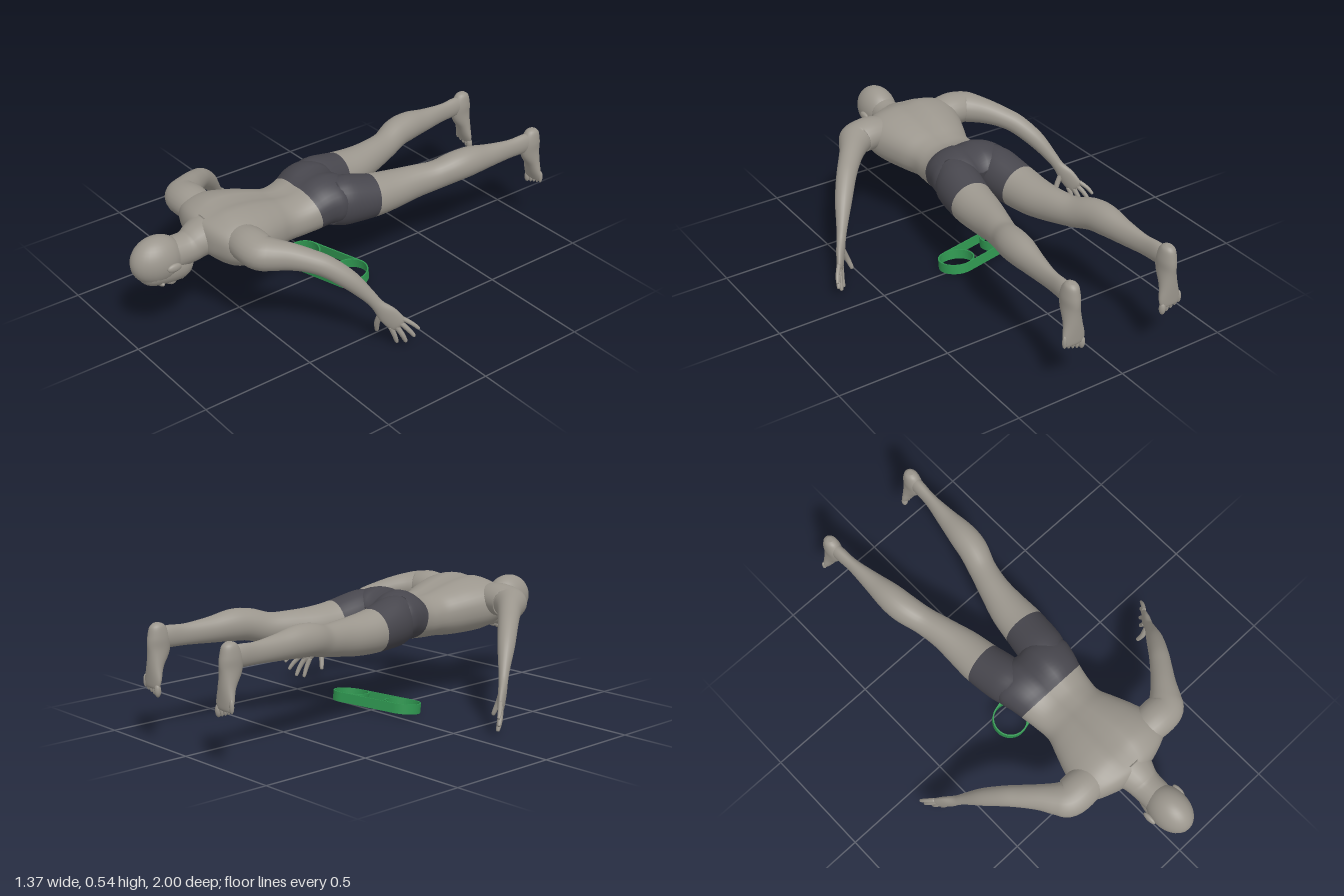
import * as THREE from 'three';

const mat = (name, color, side = THREE.FrontSide) => {
  const m = new THREE.MeshStandardMaterial({ color, side });
  m.name = name;
  return m;
};

const STEPS = 5; // rings between two sections

function spline(a, b, c, d, t) {
  return 0.5 * (2 * b + (c - a) * t + (2 * a - 5 * b + 4 * c - d) * t * t + (3 * b - a - 3 * c + d) * t * t * t);
}

// Closed skin over sections [x, y, z, halfWidth, halfDepth, groove]; the width lies along ref
function loft(sections, ref, sides = 24, power = 1) {
  const last = sections.length - 1, rings = [];
  const at = (i) => sections[Math.min(Math.max(i, 0), last)];
  for (let k = 0; k <= last * STEPS; k++) {
    const i = Math.min(Math.floor(k / STEPS), last - 1), t = k / STEPS - i;
    rings.push([0, 1, 2, 3, 4, 5].map((j) =>
      spline(at(i - 1)[j] || 0, at(i)[j] || 0, at(i + 1)[j] || 0, at(i + 2)[j] || 0, t)));
  }
  const centres = rings.map((r) => new THREE.Vector3(r[0], r[1], r[2]));
  const pos = [], index = [];
  const bend = (v) => Math.sign(v) * Math.abs(v) ** power;
  rings.forEach((r, k) => {
    const t = centres[Math.min(k + 1, rings.length - 1)].clone().sub(centres[Math.max(k - 1, 0)]).normalize();
    const u = ref.clone().addScaledVector(t, -ref.dot(t)).normalize();
    const v = t.clone().cross(u);
    for (let j = 0; j < sides; j++) {
      const a = (j / sides) * Math.PI * 2;
      const du = Math.max(r[3], 0.001) * bend(Math.cos(a));
      let dv = Math.max(r[4], 0.001) * bend(Math.sin(a));
      if (dv > 0) dv -= r[5] * Math.exp(-((du / 0.03) ** 2));
      const p = centres[k].clone().addScaledVector(u, du).addScaledVector(v, dv);
      pos.push(p.x, p.y, p.z);
    }
  });
  const n = rings.length, first = n * sides;
  pos.push(...centres[0].toArray(), ...centres[n - 1].toArray());
  for (let j = 0; j < sides; j++) index.push(first, (j + 1) % sides, j);
  for (let k = 0; k < n - 1; k++) {
    for (let j = 0; j < sides; j++) {
      const a = k * sides + j, b = k * sides + ((j + 1) % sides);
      index.push(a, b, a + sides, b, b + sides, a + sides);
    }
  }
  for (let j = 0; j < sides; j++) index.push(first + 1, (n - 1) * sides + j, (n - 1) * sides + ((j + 1) % sides));
  const g = new THREE.BufferGeometry();
  g.setAttribute('position', new THREE.Float32BufferAttribute(pos, 3));
  g.setIndex(index);
  g.computeVertexNormals();
  return g;
}

// First material up to the given section, second one after it
function splitAt(g, section, sides) {
  const cut = sides * 3 + section * STEPS * sides * 6;
  g.addGroup(0, cut, 0);
  g.addGroup(cut, g.index.count - cut, 1);
  return g;
}

export function createModel() {
  const model = new THREE.Group();
  const skin = mat('skin grey', 0x9b968d);
  const cloth = mat('shorts charcoal', 0x47464d);
  const green = mat('band green', 0x2f9650, THREE.DoubleSide);
  const X = new THREE.Vector3(1, 0, 0), Y = new THREE.Vector3(0, 1, 0);

  const add = (name, geometry, material = skin) => {
    const m = new THREE.Mesh(geometry, material);
    m.name = name;
    model.add(m);
    return m;
  };
  const ball = (name, p, r) => {
    const g = new THREE.SphereGeometry(1, 28, 20);
    g.scale(...r).translate(...p);
    return add(name, g);
  };
  const mirror = (s, list) => list.map(([x, ...rest]) => [x * s, ...rest]);

  // Torso from hips to shoulders, with a groove along seat and spine
  add('torso', splitAt(loft([
    [0, 0.41, 0.0, 0.1, 0.07, 0.02], [0, 0.42, 0.03, 0.17, 0.1, 0.03],
    [0, 0.425, 0.07, 0.192, 0.114, 0.025], [0, 0.423, 0.12, 0.183, 0.114, 0.015],
    [0, 0.405, 0.18, 0.168, 0.1, 0.006], [0, 0.395, 0.25, 0.155, 0.095, 0.008],
    [0, 0.396, 0.32, 0.15, 0.1, 0.01], [0, 0.402, 0.39, 0.175, 0.113, 0.012],
    [0, 0.412, 0.47, 0.205, 0.123, 0.014], [0, 0.42, 0.54, 0.225, 0.126, 0.016],
    [0, 0.43, 0.6, 0.228, 0.116, 0.014], [0, 0.435, 0.65, 0.2, 0.09, 0.006],
    [0, 0.435, 0.685, 0.12, 0.065], [0, 0.435, 0.7, 0.05, 0.04],
  ], X, 40, 0.88), 4, 40), [cloth, skin]);

  // Neck and head, face down
  add('neck', loft([
    [0, 0.435, 0.64, 0.11, 0.085], [0, 0.42, 0.69, 0.085, 0.075],
    [0, 0.402, 0.74, 0.07, 0.068], [0, 0.4, 0.82, 0.066, 0.07],
  ], X));
  ball('skull', [0, 0.398, 0.885], [0.083, 0.102, 0.115]);
  add('face', loft([
    [0, 0.31, 0.733, 0.012, 0.018], [0, 0.318, 0.745, 0.036, 0.042], [0, 0.333, 0.78, 0.057, 0.06],
    [0, 0.348, 0.84, 0.069, 0.068], [0, 0.36, 0.92, 0.066, 0.066], [0, 0.37, 0.96, 0.04, 0.04],
  ], X));
  add('nose', loft([
    [0, 0.285, 0.808, 0.008, 0.01], [0, 0.275, 0.82, 0.016, 0.02],
    [0, 0.283, 0.85, 0.01, 0.014], [0, 0.295, 0.885, 0.008, 0.01],
  ], X, 12));
  ball('lips', [0, 0.281, 0.782], [0.024, 0.012, 0.012]);

  for (const s of [1, -1]) {
    const side = s > 0 ? 'left' : 'right';
    ball(side + 'Ear', [0.086 * s, 0.388, 0.855], [0.012, 0.018, 0.032]);
    ball(side + 'Brow', [0.03 * s, 0.306, 0.893], [0.03, 0.014, 0.012]);

    // Leg, with the short trouser leg at its top
    add(side + 'Leg', splitAt(loft(mirror(s, [
      [0.1, 0.425, 0.09, 0.08, 0.1], [0.104, 0.414, 0.02, 0.099, 0.11], [0.122, 0.398, -0.11, 0.095, 0.096],
      [0.132, 0.395, -0.22, 0.084, 0.086], [0.15, 0.402, -0.33, 0.067, 0.075],
      [0.175, 0.412, -0.43, 0.06, 0.066], [0.202, 0.436, -0.52, 0.064, 0.068],
      [0.212, 0.442, -0.6, 0.06, 0.067], [0.219, 0.437, -0.7, 0.044, 0.055],
      [0.228, 0.435, -0.82, 0.027, 0.045], [0.233, 0.438, -0.9, 0.027, 0.046],
      [0.235, 0.44, -0.95, 0.026, 0.04],
    ]), X, 28), 2, 28), [cloth, skin]);

    // Foot hanging down, sole to the back
    add(side + 'Foot', loft(mirror(s, [
      [0.235, 0.5, -0.957, 0.012, 0.014], [0.235, 0.485, -0.955, 0.027, 0.034],
      [0.235, 0.44, -0.948, 0.035, 0.05], [0.235, 0.39, -0.95, 0.034, 0.05],
      [0.235, 0.33, -0.968, 0.04, 0.032], [0.236, 0.275, -0.978, 0.05, 0.021],
      [0.237, 0.245, -0.983, 0.046, 0.014], [0.237, 0.238, -0.983, 0.04, 0.008],
    ]), X));
    for (let i = 0; i < 5; i++) {
      const r = i ? 0.0095 : 0.014;
      ball(side + 'Toe' + (i + 1), [s * (0.2 + i * 0.02 + (i ? 0.002 : 0)), 0.232 + i * 0.007, -0.984], [r, 0.028, r]);
    }

    // Arm from shoulder to palm
    add(side + 'Arm', loft(mirror(s, [
      [0.12, 0.45, 0.575, 0.06, 0.07], [0.21, 0.455, 0.58, 0.072, 0.082], [0.28, 0.45, 0.575, 0.07, 0.08],
      [0.315, 0.446, 0.545, 0.066, 0.068], [0.36, 0.438, 0.49, 0.057, 0.054],
      [0.41, 0.42, 0.43, 0.048, 0.047], [0.455, 0.392, 0.375, 0.045, 0.043],
      [0.51, 0.33, 0.305, 0.04, 0.037], [0.555, 0.255, 0.245, 0.029, 0.025],
      [0.578, 0.21, 0.215, 0.027, 0.02], [0.602, 0.165, 0.183, 0.041, 0.018],
      [0.625, 0.12, 0.15, 0.04, 0.014], [0.632, 0.107, 0.14, 0.03, 0.008],
    ]), Y));

    // Fingers: root, joint, tip and radius
    [
      ['Thumb', [0.588, 0.175, 0.2], [0.563, 0.115, 0.203], [0.545, 0.058, 0.19], 0.012],
      ['IndexFinger', [0.608, 0.105, 0.171], [0.616, 0.06, 0.155], [0.618, 0.016, 0.14], 0.0105],
      ['MiddleFinger', [0.619, 0.115, 0.157], [0.637, 0.066, 0.133], [0.643, 0.022, 0.113], 0.011],
      ['RingFinger', [0.63, 0.127, 0.143], [0.655, 0.088, 0.113], [0.669, 0.053, 0.09], 0.0105],
      ['LittleFinger', [0.64, 0.142, 0.131], [0.665, 0.117, 0.1], [0.68, 0.09, 0.076], 0.009],
    ].forEach(([name, root, joint, tip, r]) => {
      const near = joint.map((v, i) => v + (tip[i] - v) * 0.85);
      add(side + name, loft(mirror(s, [
        [...root, r * 1.1, r * 1.1], [...joint, r, r], [...near, r * 0.75, r * 0.75], [...tip, r * 0.25, r * 0.25],
      ]), X, 10));
    });
  }

  // Band on the floor: two rings joined by two straps
  const half = 0.134, R = 0.08, inner = 0.074, a = Math.asin(inner / R);
  const outline = new THREE.Shape();
  outline.absarc(half, 0, R, -Math.PI / 2, Math.PI / 2, false);
  outline.absarc(-half, 0, R, Math.PI / 2, Math.PI * 1.5, false);
  for (const x of [-half, half]) {
    outline.holes.push(new THREE.Path().absarc(x, 0, inner, 0, Math.PI * 2, true));
  }
  const gap = new THREE.Path();
  gap.absarc(-half, 0, R, a, -a, true);
  gap.absarc(half, 0, R, Math.PI + a, Math.PI - a, true);
  outline.holes.push(gap);
  const band = new THREE.ExtrudeGeometry(outline, { depth: 0.043, bevelEnabled: false, curveSegments: 28 });
  band.translate(0, 0, -0.0215).rotateX(-Math.PI / 2).rotateY(0.245).rotateX(0.13).translate(0, 0.042, 0.032);
  add('exerciseBand', band, green);

  return model;
}
